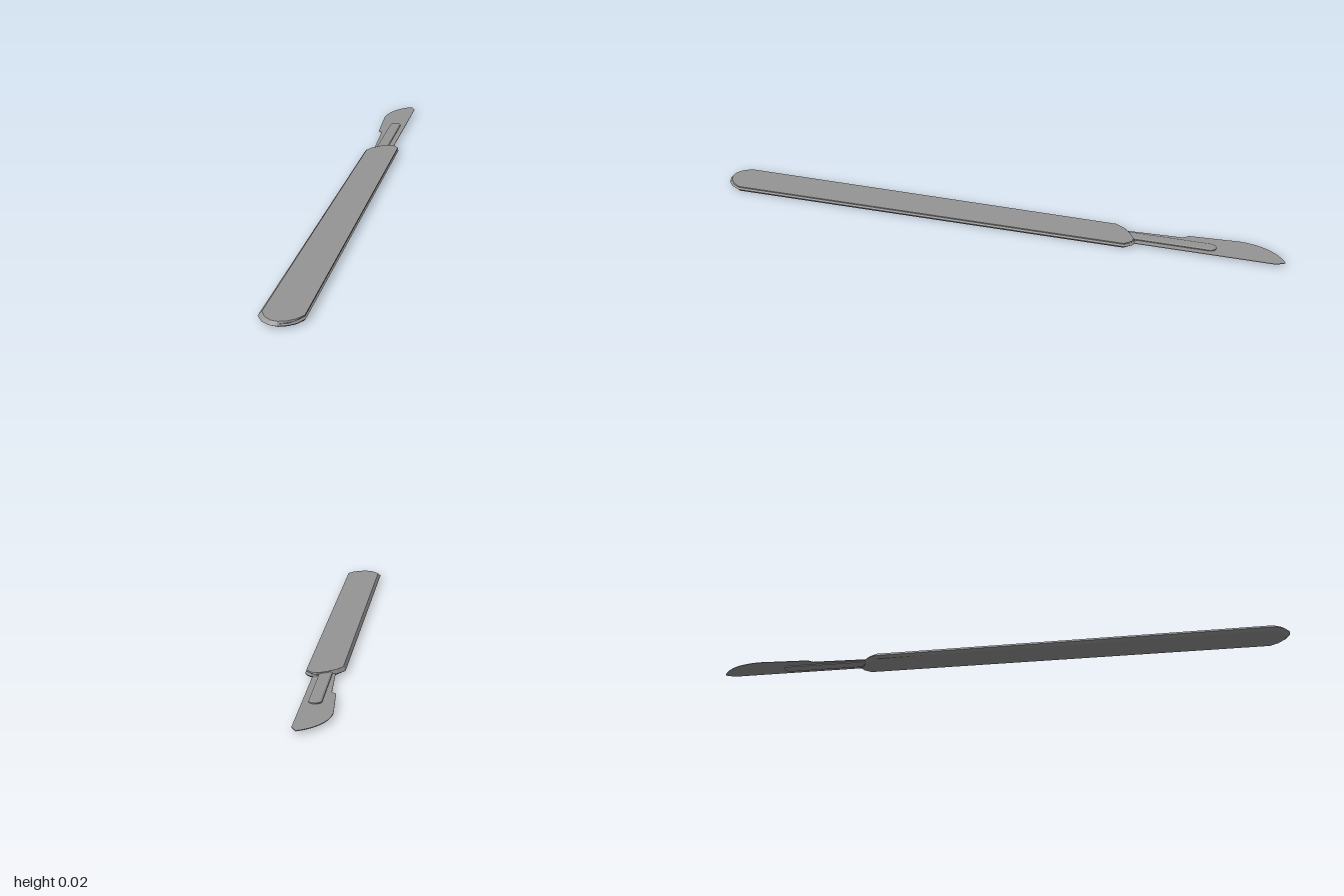
import * as THREE from 'three';

const material = new THREE.MeshStandardMaterial({ color: 0x959595, flatShading: true, side: THREE.DoubleSide });

// Stacks copies of a convex [x, z] outline; each level is [y, inset, inset at the +x edge].
function loft(name, outline, levels) {
  const xs = outline.map(p => p[0]), zs = outline.map(p => p[1]);
  const x0 = Math.min(...xs), x1 = Math.max(...xs), z0 = Math.min(...zs), z1 = Math.max(...zs);
  const cx = (x0 + x1) / 2, cz = (z0 + z1) / 2, n = outline.length;
  const pos = [], idx = [];
  for (const [y, inset, edgeInset] of levels) {
    for (const [x, z] of outline) {
      const d = THREE.MathUtils.lerp(inset, edgeInset, ((x - x0) / (x1 - x0)) ** 4);
      pos.push(cx + (x - cx) * (1 - 2 * d / (x1 - x0)), y, cz + (z - cz) * (1 - 2 * d / (z1 - z0)));
    }
  }
  for (let l = 0; l < levels.length - 1; l++) {
    for (let i = 0; i < n; i++) {
      const a = l * n + i, b = l * n + (i + 1) % n;
      idx.push(a, a + n, b, b, a + n, b + n);
    }
  }
  // flat caps
  const top = (levels.length - 1) * n;
  for (let i = 1; i < n - 1; i++) {
    idx.push(0, i, i + 1, top, top + i + 1, top + i);
  }
  const indexed = new THREE.BufferGeometry();
  indexed.setAttribute('position', new THREE.Float32BufferAttribute(pos, 3));
  indexed.setIndex(idx);
  const geometry = indexed.toNonIndexed();
  geometry.computeVertexNormals();
  const mesh = new THREE.Mesh(geometry, material);
  mesh.name = name;
  return mesh;
}

export function createModel() {
  const group = new THREE.Group();
  group.name = 'scalpel';

  // Handle: slanted nose, rounded butt, bevelled all round, with a groove along the +x edge
  const handleOutline = [
    [-0.056, -0.43], [-0.036, -0.46], [-0.005, -0.485], [0.03, -0.502], [0.05, -0.495], [0.067, -0.47],
    [0.068, 0.94], [0.052, 0.97], [0.03, 0.989], [0, 1], [-0.025, 0.997], [-0.05, 0.98], [-0.069, 0.95],
  ];
  group.add(loft('handle', handleOutline, [
    [0, 0.013, 0.005], [0.008, 0, 0], [0.0125, 0.004, 0.008], [0.0145, 0.006, 0.003], [0.0185, 0.01, 0.003],
  ]));

  // Tang: bevelled bar with a rounded tip, standing proud of both blade faces
  const tangOutline = [[0.021, -0.44], [-0.019, -0.44]];
  for (let i = 0; i <= 8; i++) {
    const a = Math.PI * i / 8;
    tangOutline.push([0.001 - 0.02 * Math.cos(a), -0.75 - 0.02 * Math.sin(a)]);
  }
  group.add(loft('tang', tangOutline, [
    [0.002, 0.005, 0.005], [0.004, 0, 0], [0.013, 0, 0], [0.0155, 0.005, 0.005],
  ]));

  // Blade: straight spine at +x, curved cutting edge at -x, narrow neck
  const blade = new THREE.Shape();
  blade.moveTo(0.04, 0.46);
  blade.lineTo(0.04, 0.97);
  blade.lineTo(0.025, 1);
  blade.bezierCurveTo(-0.015, 0.98, -0.06, 0.93, -0.062, 0.84);
  blade.lineTo(-0.051, 0.67);
  blade.lineTo(-0.037, 0.655);
  blade.lineTo(-0.028, 0.46);
  blade.closePath();
  const bladeGeometry = new THREE.ExtrudeGeometry(blade, { depth: 0.002, bevelEnabled: false, curveSegments: 12 });
  bladeGeometry.rotateX(-Math.PI / 2).translate(0, 0.0075, 0);
  const bladeMesh = new THREE.Mesh(bladeGeometry, material);
  bladeMesh.name = 'blade';
  group.add(bladeMesh);

  return group;
}
